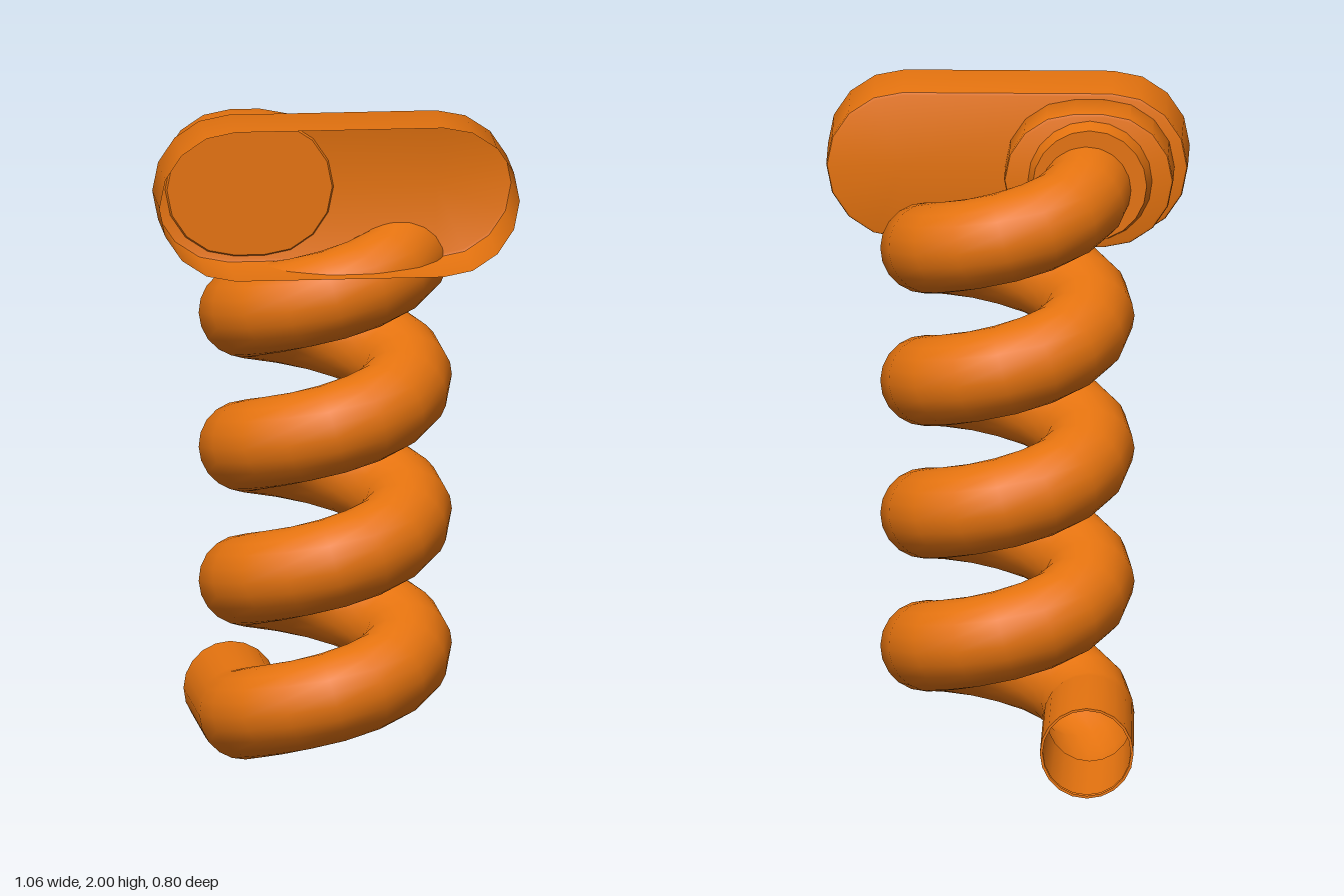
import * as THREE from 'three';
import { toCreasedNormals } from 'three/addons/utils/BufferGeometryUtils.js';

const orange = new THREE.MeshStandardMaterial({ color: 0xe5730f, side: THREE.DoubleSide });
orange.name = 'orange plastic';

// Skin a list of closed rings that share one point count
function loft(rings, crease) {
  const n = rings[0].length, pos = [], idx = [];
  rings.forEach(r => r.forEach(p => pos.push(p.x, p.y, p.z)));
  for (let i = 0; i < rings.length - 1; i++) {
    for (let j = 0; j < n; j++) {
      const a = i * n + j, b = i * n + (j + 1) % n;
      idx.push(a, b, a + n, b, b + n, a + n);
    }
  }
  const g = new THREE.BufferGeometry();
  g.setAttribute('position', new THREE.Float32BufferAttribute(pos, 3));
  g.setIndex(idx);
  return toCreasedNormals(g, crease);
}

function part(name, geometry) {
  const m = new THREE.Mesh(geometry, orange);
  m.name = name;
  return m;
}

// Stadium outline facing z: straight half-length s, end radius r
function oval(cx, cy, z, s, r) {
  const pts = [];
  for (const side of [0, 1]) {
    for (let i = 0; i <= 8; i++) {
      const a = -Math.PI / 2 + side * Math.PI + i * Math.PI / 8;
      pts.push(new THREE.Vector3(cx + (side ? -s : s) + r * Math.cos(a), cy + r * Math.sin(a), z));
    }
  }
  return pts;
}

// Stations are [z, straight half-length, radius]
const ovalShell = (cx, cy, stations) =>
  loft(stations.map(([z, s, r]) => oval(cx, cy, z, s, r)), 0.6);

// Round tube through stations [centre, radius]; rings stay square to the path
function sweep(stations, sides) {
  const up = new THREE.Vector3(0, 1, 0);
  const rings = stations.map(([c, r], i) => {
    const a = stations[Math.max(i - 1, 0)][0];
    const b = stations[Math.min(i + 1, stations.length - 1)][0];
    const t = b.clone().sub(a).normalize();
    const n = up.clone().cross(t).normalize();
    const v = t.clone().cross(n);
    return Array.from({ length: sides }, (_, j) => {
      const q = j / sides * Math.PI * 2;
      return c.clone().addScaledVector(n, r * Math.cos(q)).addScaledVector(v, r * Math.sin(q));
    });
  });
  return loft(rings, 0.8);
}

export function createModel() {
  const model = new THREE.Group();
  model.name = 'spiralTubeSlide';

  const turns = 4, perTurn = 16, R = 0.24, r = 0.134, pitch = 0.405;
  const topY = 1.77, cx = -0.005, startX = cx - R;

  // Spiral tube, from the collar down to the start of the outlet
  const path = [[new THREE.Vector3(startX, topY + 0.005, 0.1), r]];
  for (let i = 0; i <= turns * perTurn; i++) {
    const f = i / perTurn, a = Math.PI + f * Math.PI * 2;
    path.push([new THREE.Vector3(cx + R * Math.cos(a), topY - pitch * f, R * Math.sin(a)), r]);
  }
  // Straight, slightly flared outlet
  const end = new THREE.Vector3(-0.248, 0.139, -0.4);
  path.push([new THREE.Vector3(startX, 0.148, -0.05), r]);
  path.push([end, 0.138]);
  model.add(part('spiralTube', sweep(path, 20)));

  // Thin rim at the outlet mouth
  const rim = new THREE.RingGeometry(0.13, 0.138, 20);
  rim.rotateY(Math.PI);
  rim.translate(end.x, end.y, end.z);
  model.add(part('outletRim', rim));

  // Inner wall of the outlet
  const inner = new THREE.CylinderGeometry(0.13, 0.124, 0.35, 20, 1, true);
  inner.rotateX(-Math.PI / 2);
  inner.translate(end.x, end.y + 0.003, end.z + 0.175);
  model.add(part('outletLining', inner));

  // Entrance hood: open at the front, closed at the back
  const cy = 1.775;
  model.add(part('entranceHood', ovalShell(0, cy, [
    [0.4, 0.307, 0.225], [0.168, 0.307, 0.225], [0.159, 0.307, 0.222],
    [0.156, 0.307, 0.214], [0.156, 0.307, 0],
  ])));

  // Collar joining the hood to the tube, closed at both ends
  model.add(part('collar', ovalShell(-0.244, cy, [
    [0.164, 0.044, 0], [0.164, 0.044, 0.2], [0.156, 0.044, 0.205],
    [0.012, 0.044, 0.205], [0.003, 0.044, 0.202], [0, 0.044, 0.194], [0, 0.044, 0],
  ])));

  // Tapered ring around the tube where it leaves the collar
  const ring = new THREE.CylinderGeometry(0.183, 0.168, 0.053, 20);
  ring.rotateX(Math.PI / 2);
  ring.translate(-0.248, cy, -0.0265);
  model.add(part('collarRing', ring));

  return model;
}
